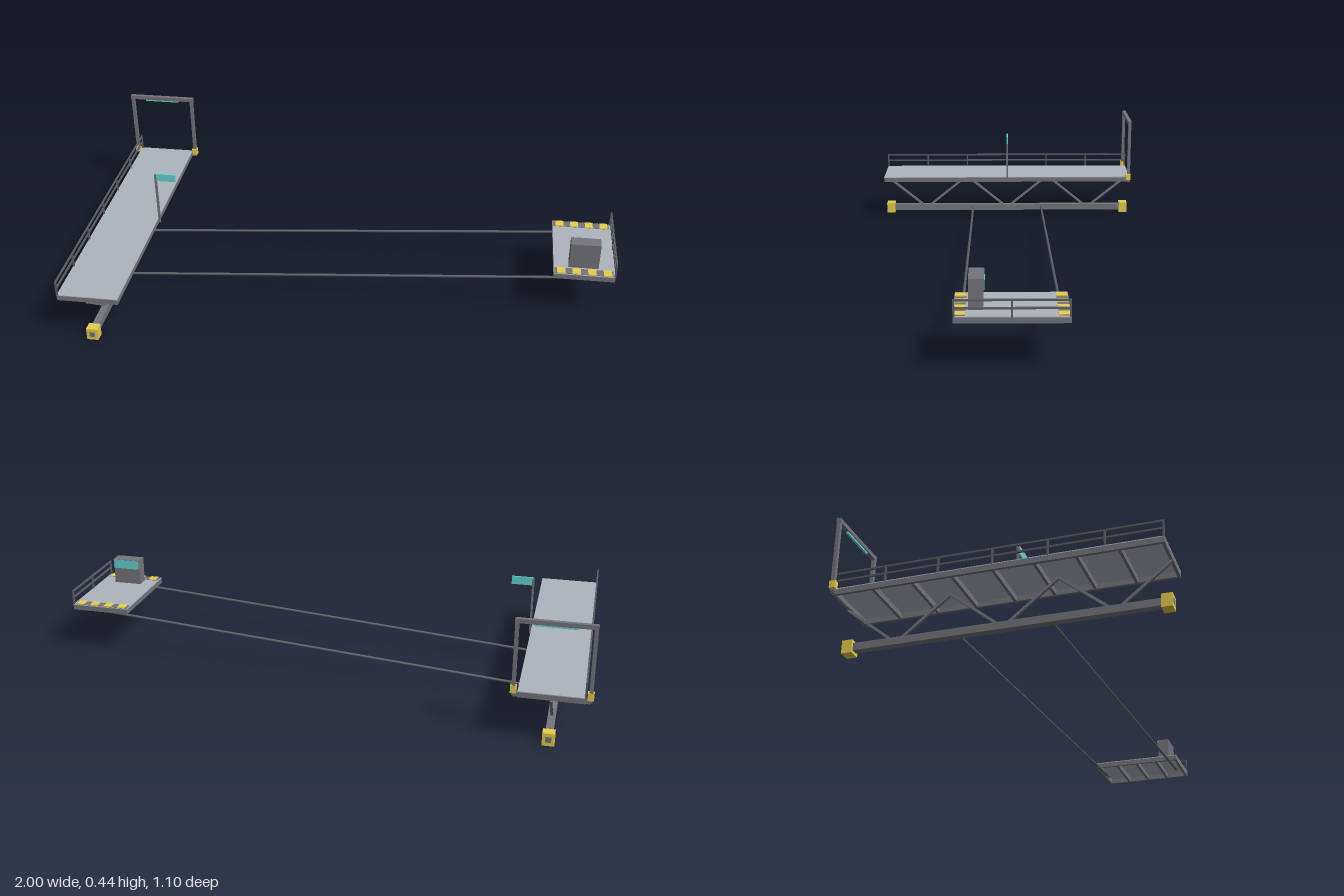
import * as THREE from 'three';

const material = (name, color) => {
  const m = new THREE.MeshStandardMaterial({ color });
  m.name = name;
  return m;
};

export function createModel() {
  const deckGrey = material('deckGrey', 0xafb5be);
  const steel = material('steel', 0x75757c);
  const darkSteel = material('darkSteel', 0x5e5f64);
  const yellow = material('safetyYellow', 0xe8cf50);
  const teal = material('signalTeal', 0x68d6d6);

  const model = new THREE.Group();
  model.name = 'cableCrossing';

  const group = (name) => {
    const g = new THREE.Group();
    g.name = name;
    model.add(g);
    return g;
  };

  const box = (parent, name, mat, size, pos) => {
    const mesh = new THREE.Mesh(new THREE.BoxGeometry(...size), mat);
    mesh.name = name;
    mesh.position.set(...pos);
    parent.add(mesh);
    return mesh;
  };

  // Bar between two points; round when sides > 4
  const bar = (parent, name, mat, a, b, width, sides = 4) => {
    const p = new THREE.Vector3(...a), q = new THREE.Vector3(...b);
    const dir = q.clone().sub(p);
    const geo = sides === 4
      ? new THREE.BoxGeometry(width, dir.length(), width)
      : new THREE.CylinderGeometry(width / 2, width / 2, dir.length(), sides);
    const mesh = new THREE.Mesh(geo, mat);
    mesh.name = name;
    mesh.position.copy(p).add(q).multiplyScalar(0.5);
    mesh.quaternion.setFromUnitVectors(new THREE.Vector3(0, 1, 0), dir.normalize());
    parent.add(mesh);
  };

  // Deck plate on a frame of edge beams and cross joists
  const deck = (name, cx, width, length, joists) => {
    const g = group(name);
    box(g, 'deckPlate', deckGrey, [width, 0.003, length], [cx, 0.1875, 0]);
    for (const s of [-1, 1]) {
      box(g, 'edgeBeam', steel, [0.01, 0.019, length], [cx + s * (width / 2 - 0.005), 0.1765, 0]);
    }
    for (let i = 0; i < joists; i++) {
      const z = (i / (joists - 1) - 0.5) * (length - 0.01);
      box(g, 'joist', steel, [width - 0.02, 0.019, 0.01], [cx, 0.1765, z]);
    }
    return g;
  };

  // Railing along z with evenly spaced posts
  const railing = (parent, x, length, posts) => {
    for (let i = 0; i < posts; i++) {
      const z = (i / (posts - 1) - 0.5) * (length - 0.006);
      box(parent, 'railPost', darkSteel, [0.006, 0.055, 0.006], [x, 0.2145, z]);
    }
    for (const y of [0.216, 0.242]) {
      box(parent, 'handRail', darkSteel, [0.006, 0.006, length], [x, y, 0]);
    }
  };

  const cx = -0.865;
  const walkway = deck('walkway', cx, 0.222, 1.096, 9);
  railing(walkway, -0.974, 1.098, 7);

  // Lower chord with yellow end blocks
  const truss = group('truss');
  box(truss, 'lowerChord', steel, [0.026, 0.026, 1.08], [cx, 0.023, 0]);
  for (const s of [-1, 1]) {
    box(truss, 'endBlock', yellow, [0.042, 0.046, 0.036], [cx, 0.023, s * 0.529]);
    box(truss, 'chordCap', steel, [0.02, 0.02, 0.002], [cx, 0.023, s * 0.547]);
  }

  // Zigzag web: three V shapes
  for (const z of [-0.365, 0, 0.365]) {
    for (const s of [-1, 1]) {
      bar(truss, 'diagonal', steel, [cx, 0.035, z + s * 0.018], [cx, 0.168, z + s * 0.182], 0.009);
    }
  }

  // Portal frame at the back end
  const portal = group('portal');
  for (const s of [-1, 1]) {
    box(portal, 'portalPost', steel, [0.013, 0.265, 0.013], [cx + s * 0.125, 0.304, -0.539]);
    box(portal, 'portalFoot', yellow, [0.021, 0.026, 0.02], [cx + s * 0.125, 0.193, -0.538]);
  }
  box(portal, 'portalBeam', steel, [0.265, 0.015, 0.015], [cx, 0.436, -0.539]);
  box(portal, 'portalSill', steel, [0.25, 0.016, 0.01], [cx, 0.176, -0.541]);
  box(portal, 'portalLight', teal, [0.14, 0.007, 0.008], [cx, 0.425, -0.539]);

  // Flag sign beside the walkway
  const sign = group('sign');
  box(sign, 'signPost', steel, [0.008, 0.215, 0.008], [-0.75, 0.278, 0]);
  box(sign, 'signPlate', teal, [0.078, 0.03, 0.006], [-0.711, 0.373, 0]);

  // Far platform
  const px = 0.885;
  const platform = deck('platform', px, 0.222, 0.36, 5);
  railing(platform, 0.995, 0.36, 3);

  // Hazard bands along both ends of the platform
  for (const s of [-1, 1]) {
    box(platform, 'hazardBand', steel, [0.212, 0.001, 0.036], [px - 0.002, 0.1893, s * 0.16]);
    for (let i = 0; i < 4; i++) {
      box(platform, 'hazardStripe', yellow, [0.03, 0.004, 0.036], [0.801 + i * 0.056, 0.1905, s * 0.16]);
    }
  }

  // Control cabinet with a framed screen on its inner face
  const cabinet = group('controlCabinet');
  box(cabinet, 'cabinetBody', steel, [0.108, 0.1, 0.046], [0.883, 0.239, 0.111]);
  box(cabinet, 'screenFrame', steel, [0.108, 0.037, 0.004], [0.883, 0.27, 0.0865]);
  box(cabinet, 'screen', teal, [0.104, 0.035, 0.001], [0.883, 0.27, 0.0842]);

  // Pair of cables joining the lower chord to the platform
  const cables = group('cables');
  for (const z of [-0.155, 0.155]) {
    bar(cables, 'cable', darkSteel, [cx, 0.022, z], [0.882, 0.162, z], 0.01, 16);
  }
  return model;
}
